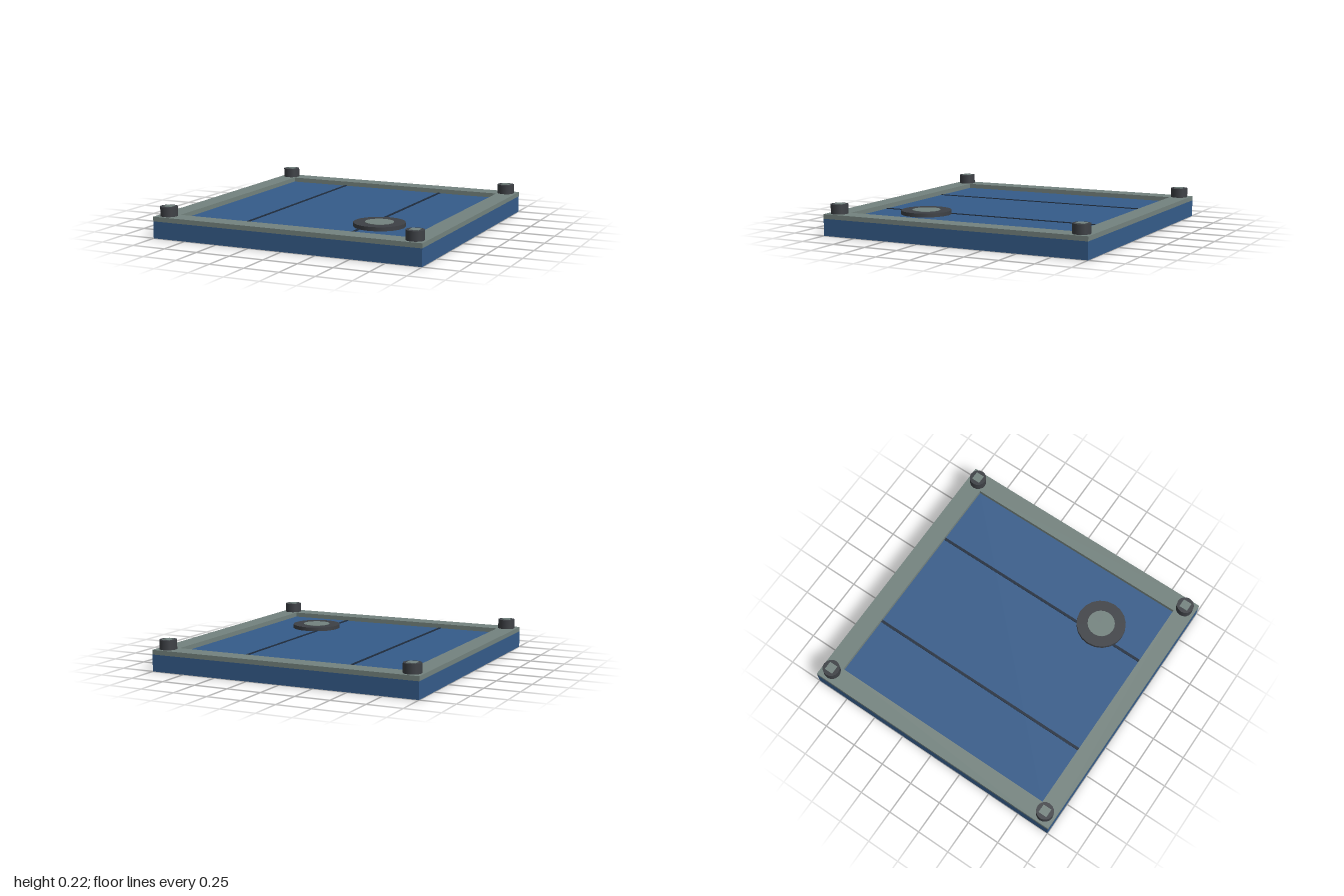
import * as THREE from 'three';

export function createModel() {
  const root = new THREE.Group();
  const mat = (name, color) => {
    const m = new THREE.MeshStandardMaterial({ color });
    m.name = name;
    return m;
  };
  const blue = mat('panel blue', 0x355c8a);
  const grey = mat('frame grey', 0x74837f);
  const dark = mat('dark metal', 0x3e4146);
  const navy = mat('seam navy', 0x1f2c3d);

  const add = (name, geometry, material, x, y, z) => {
    const mesh = new THREE.Mesh(geometry, material);
    mesh.name = name;
    mesh.position.set(x, y, z);
    root.add(mesh);
    return mesh;
  };

  // Base slab
  add('baseSlab', new THREE.BoxGeometry(2, 0.12, 2), blue, 0, 0.06, 0);

  // Raised square border
  const square = (path, h) => path.moveTo(-h, -h).lineTo(h, -h).lineTo(h, h).lineTo(-h, h).closePath();
  const outline = square(new THREE.Shape(), 1);
  outline.holes.push(square(new THREE.Path(), 0.863));
  const border = new THREE.ExtrudeGeometry(outline, { depth: 0.033, bevelEnabled: false });
  border.rotateX(-Math.PI / 2);
  add('border', border, grey, 0, 0.12, 0);

  // Panel seams
  for (const x of [-0.4, 0.4]) {
    add('panelSeam', new THREE.BoxGeometry(0.02, 0.004, 1.726), navy, x, 0.122, 0);
  }

  // Corner bolts with square caps
  for (const x of [-0.92, 0.92]) {
    for (const z of [-0.92, 0.92]) {
      add('cornerBolt', new THREE.CylinderGeometry(0.062, 0.062, 0.068, 16), dark, x, 0.186, z);
      add('boltCap', new THREE.BoxGeometry(0.064, 0.004, 0.064), grey, x, 0.221, z);
    }
  }

  // Round fitting on the panel
  add('discRim', new THREE.CylinderGeometry(0.18, 0.18, 0.028, 20), dark, 0.48, 0.134, 0.48);
  add('discCentre', new THREE.CylinderGeometry(0.1, 0.1, 0.004, 20), grey, 0.48, 0.149, 0.48);

  return root;
}
